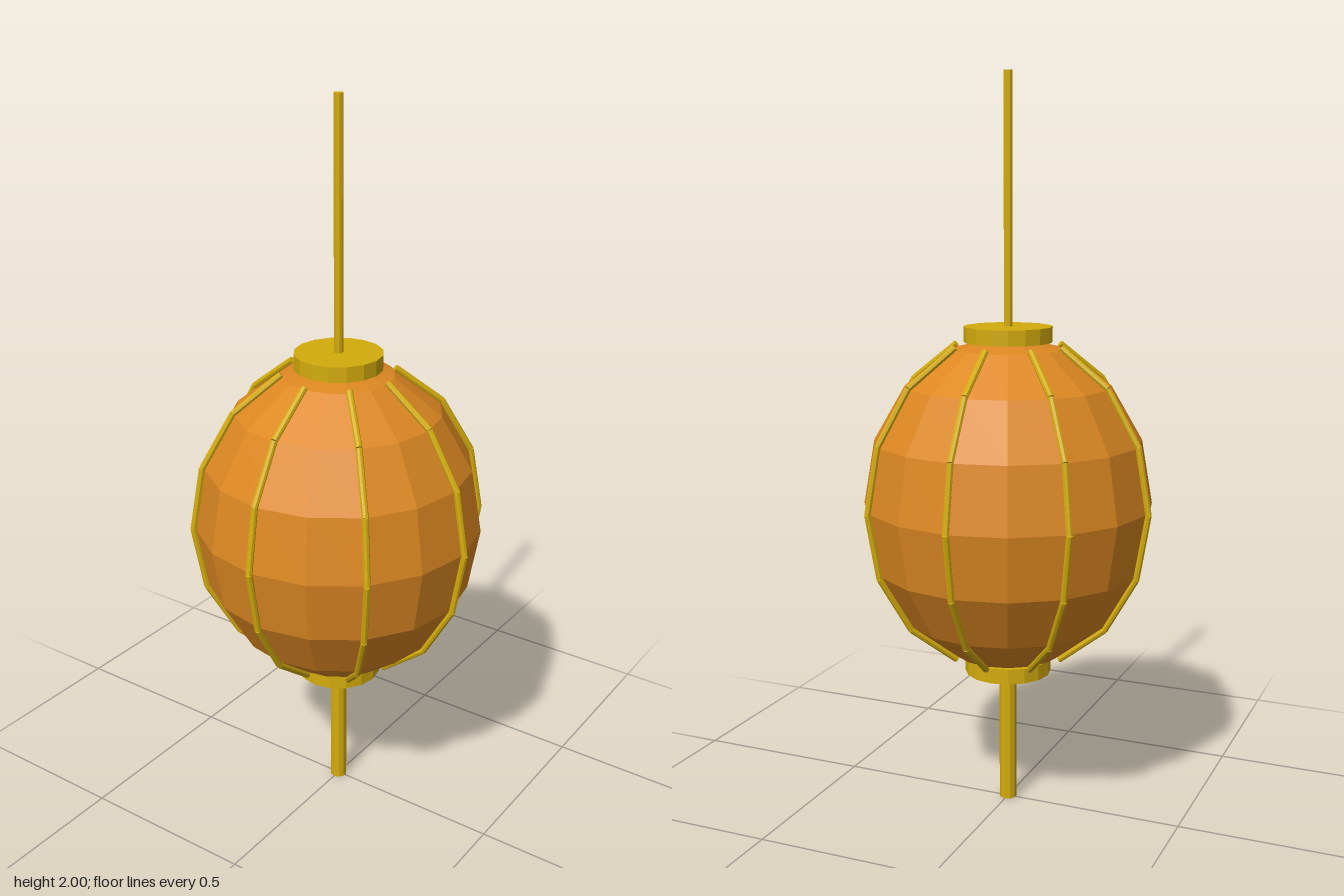
import * as THREE from 'three';

const CENTER_Y = 0.858;

export function createModel() {
  const model = new THREE.Group();
  model.name = 'hangingLantern';

  const orange = new THREE.MeshStandardMaterial({ color: 0xdd8822, flatShading: true });
  orange.name = 'orange paper';
  const gold = new THREE.MeshStandardMaterial({ color: 0xd4ac0d, flatShading: true });
  gold.name = 'gold';

  const add = (parent, name, geometry, material) => {
    const mesh = new THREE.Mesh(geometry, material);
    mesh.name = name;
    parent.add(mesh);
    return mesh;
  };

  // Vertical cylinder between two heights
  const post = (name, radius, y0, y1, sides) => {
    const mesh = add(model, name, new THREE.CylinderGeometry(radius, radius, y1 - y0, sides), gold);
    mesh.position.y = (y0 + y1) / 2;
  };

  // Faceted paper body, a little taller than wide
  const body = add(model, 'paperBody', new THREE.SphereGeometry(0.393, 16, 8), orange);
  body.scale.y = 0.457 / 0.393;
  body.position.y = CENTER_Y;

  // End caps, hanging cord and tassel
  post('topCap', 0.119, 1.298, 1.34, 16);
  post('bottomCap', 0.119, 0.377, 0.419, 16);
  post('hangingCord', 0.0125, 1.34, 2, 8);
  post('tassel', 0.024, 0, 0.377, 10);

  // Eight ribs, each made of straight rods following the body rings
  const up = new THREE.Vector3(0, 1, 0);
  const ringPoint = (i) => {
    const a = (i * Math.PI) / 8;
    return new THREE.Vector3(0.399 * Math.sin(a), 0.465 * Math.cos(a), 0);
  };
  for (let r = 0; r < 8; r++) {
    const rib = new THREE.Group();
    rib.name = 'rib';
    rib.position.y = CENTER_Y;
    rib.rotation.y = (r * Math.PI) / 4;
    for (let i = 1; i < 7; i++) {
      const a = ringPoint(i);
      const b = ringPoint(i + 1);
      const rod = add(rib, 'ribRod', new THREE.CylinderGeometry(0.009, 0.009, a.distanceTo(b), 8), gold);
      rod.position.copy(a).add(b).multiplyScalar(0.5);
      rod.quaternion.setFromUnitVectors(up, a.sub(b).normalize());
    }
    model.add(rib);
  }

  return model;
}
